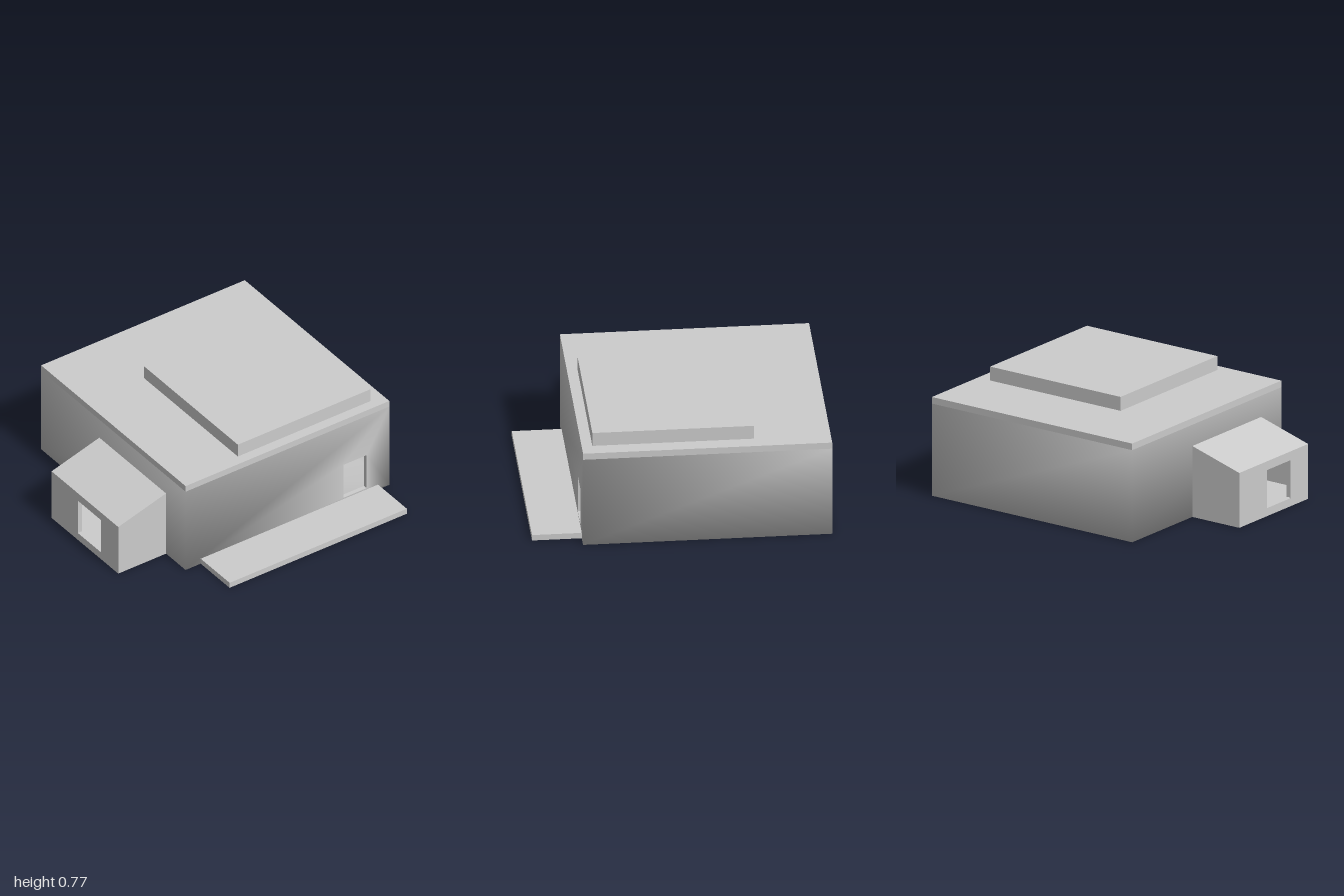
import * as THREE from 'three';
import { mergeGeometries, mergeVertices } from 'three/addons/utils/BufferGeometryUtils.js';

const material = new THREE.MeshStandardMaterial({ color: 0xcccccc, side: THREE.DoubleSide });

// Flat sheet through four corners, counter-clockwise seen from its front
function quad(a, b, c, d) {
  const g = new THREE.BufferGeometry();
  g.setAttribute('position', new THREE.Float32BufferAttribute([a, b, c, a, c, d].flat(), 3));
  return g;
}

// Wall in the xy plane with a rectangular opening and an inward reveal
function wallWithOpening(outline, [u0, u1, v0, v1], depth) {
  const corners = [[u0, v0], [u0, v1], [u1, v1], [u1, v0]];
  const shape = new THREE.Shape(outline.map(p => new THREE.Vector2(...p)));
  shape.holes.push(new THREE.Path(corners.map(p => new THREE.Vector2(...p))));
  const wall = new THREE.ShapeGeometry(shape).toNonIndexed();
  wall.deleteAttribute('normal');
  wall.deleteAttribute('uv');
  const reveal = mergeGeometries(corners.map((p, i) => {
    const q = corners[(i + 1) % 4];
    return quad([...p, 0], [...p, -depth], [...q, -depth], [...q, 0]);
  }));
  return { wall, reveal };
}

function addMesh(group, name, geometry) {
  if (!geometry.attributes.normal) geometry.computeVertexNormals();
  const mesh = new THREE.Mesh(geometry, material);
  mesh.name = name;
  group.add(mesh);
}

function addSlab(group, name, [x0, x1], [y0, y1], [z0, z1]) {
  const g = new THREE.BoxGeometry(x1 - x0, y1 - y0, z1 - z0);
  g.translate((x0 + x1) / 2, (y0 + y1) / 2, (z0 + z1) / 2);
  addMesh(group, name, g);
}

export function createModel() {
  const model = new THREE.Group();
  model.name = 'house';

  // Main body: hollow shell with a floor, shaded smoothly across its corners
  const L = -0.62, R = 1, F = 0.65, B = -0.975, H = 0.63;
  const front = wallWithOpening([[L, 0], [R, 0], [R, H], [L, H]], [0.635, 0.82, 0.05, 0.315], 0.03);
  front.wall.translate(0, 0, F);
  front.reveal.translate(0, 0, F);
  const shell = mergeVertices(mergeGeometries([
    front.wall,
    quad([R, 0, F], [R, 0, B], [R, H, B], [R, H, F]),
    quad([R, 0, B], [L, 0, B], [L, H, B], [R, H, B]),
    quad([L, 0, B], [L, 0, F], [L, H, F], [L, H, B]),
    quad([L, 0, B], [R, 0, B], [R, 0, F], [L, 0, F]),
  ]));
  addMesh(model, 'bodyWalls', shell);
  addMesh(model, 'doorReveal', front.reveal);

  // Flat roof and raised upper slab
  addSlab(model, 'roof', [L, R], [H, 0.675], [B, F]);
  addSlab(model, 'upperRoof', [-0.155, 0.9], [0.675, 0.77], [-0.475, 0.58]);

  // Porch step, open underneath
  const p0 = -0.5, p1 = 0.91, pz = 0.975, ph = 0.04;
  addMesh(model, 'porch', mergeGeometries([
    quad([p0, ph, pz], [p1, ph, pz], [p1, ph, F], [p0, ph, F]),
    quad([p0, 0, pz], [p1, 0, pz], [p1, ph, pz], [p0, ph, pz]),
    quad([p1, 0, pz], [p1, 0, F], [p1, ph, F], [p1, ph, pz]),
    quad([p0, 0, F], [p0, 0, pz], [p0, ph, pz], [p0, ph, F]),
  ]));

  // Lean-to annex with a raised floor and an opening in its outer wall
  const annex = new THREE.Group();
  annex.name = 'annex';
  const ax = -1, a0 = -0.32, a1 = 0.43, low = 0.375, high = 0.485, floor = 0.06;
  addMesh(annex, 'annexShell', mergeGeometries([
    quad([ax, 0, a1], [L, 0, a1], [L, high, a1], [ax, low, a1]),
    quad([L, 0, a0], [ax, 0, a0], [ax, low, a0], [L, high, a0]),
    quad([ax, low, a1], [L, high, a1], [L, high, a0], [ax, low, a0]),
    quad([ax, floor, a1], [L, floor, a1], [L, floor, a0], [ax, floor, a0]),
  ]));
  const side = wallWithOpening([[a0, 0], [a1, 0], [a1, low], [a0, low]], [-0.02, 0.235, 0.055, 0.315], 0.03);
  for (const [name, g] of [['annexOuterWall', side.wall], ['windowReveal', side.reveal]]) {
    g.rotateY(-Math.PI / 2).translate(ax, 0, 0);
    addMesh(annex, name, g);
  }
  model.add(annex);

  return model;
}
